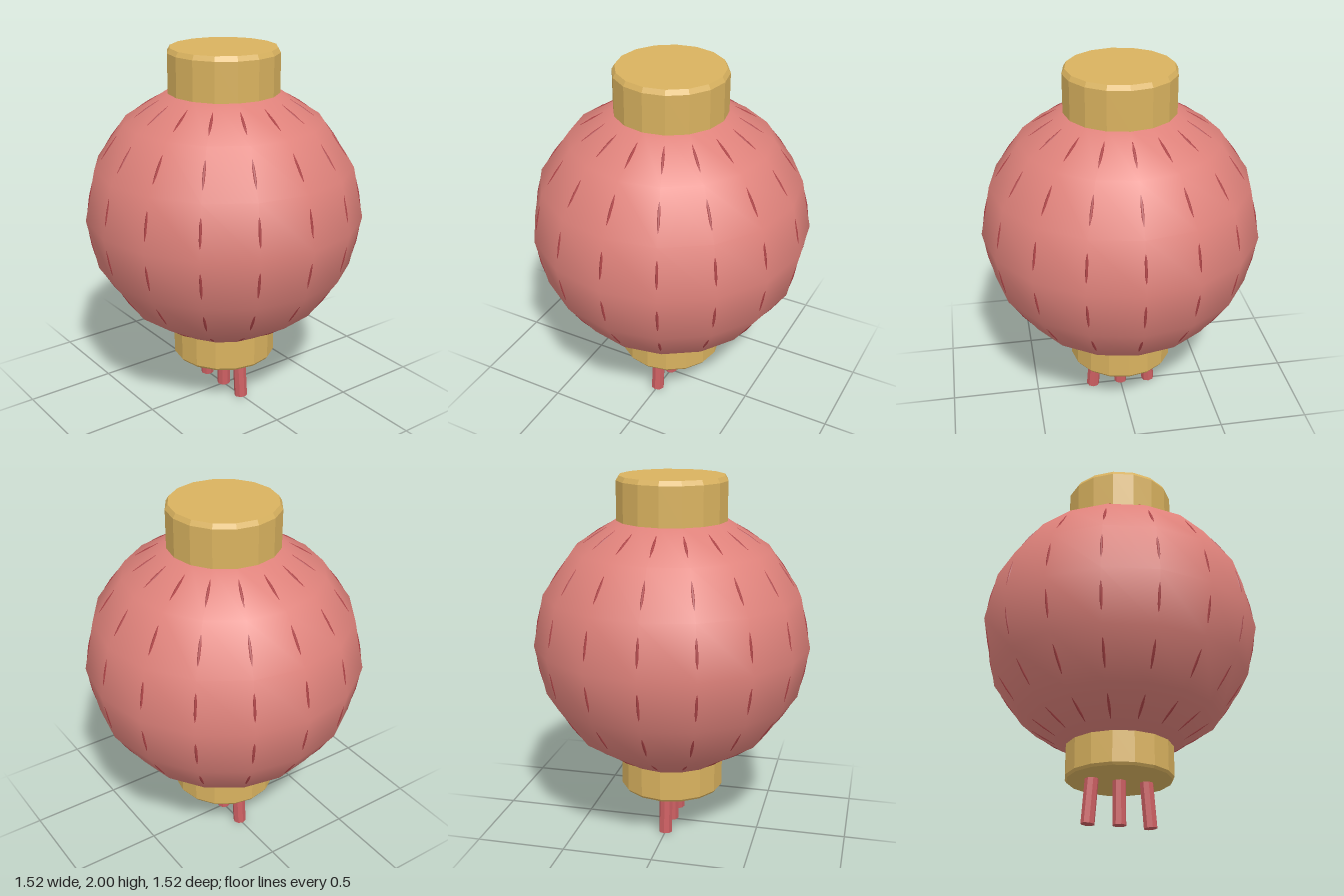
import * as THREE from 'three';

const mat = (name, color, flatShading = false) => {
  const m = new THREE.MeshStandardMaterial({ color, flatShading });
  m.name = name;
  return m;
};

export function createModel() {
  const paper = mat('paper red', 0xdf827b);
  const gold = mat('gold', 0xd9b25f, true);
  const cord = mat('cord red', 0xcc5f62, true);
  const rib = mat('rib red', 0xb04548);

  const model = new THREE.Group();
  model.name = 'lantern';
  const add = (name, geometry, material, parent = model) => {
    const mesh = new THREE.Mesh(geometry, material);
    mesh.name = name;
    parent.add(mesh);
    return mesh;
  };

  // Slightly squashed globe
  const centreY = 1.097, squash = 0.96;
  const globe = add('globe', new THREE.SphereGeometry(0.76, 16, 8), paper);
  globe.scale.y = squash;
  globe.position.y = centreY;

  // Fine meridian hoops that just break the surface between the globe's rings
  const ribs = new THREE.Group();
  ribs.name = 'ribs';
  ribs.position.y = centreY;
  ribs.scale.y = squash;
  model.add(ribs);
  const hoop = new THREE.TorusGeometry(0.742, 0.008, 6, 64);
  for (let i = 0; i < 8; i++) {
    add('rib', hoop, rib, ribs).rotation.y = (i * Math.PI) / 8;
  }

  // Bevelled end caps, each profile running from bottom to top
  const cap = (name, profile) =>
    add(name, new THREE.LatheGeometry(profile.map(([r, y]) => new THREE.Vector2(r, y)), 16), gold);
  cap('topCap', [[0, 1.765], [0.3, 1.765], [0.3, 1.975], [0.285, 2], [0, 2]]);
  cap('bottomCap', [[0, 0.243], [0.28, 0.243], [0.29, 0.257], [0.29, 0.43], [0, 0.43]]);

  // Three tassel cords, the outer pair splayed
  for (const side of [-1, 0, 1]) {
    const tassel = add('tassel', new THREE.CylinderGeometry(0.037, 0.037, 0.28, 8), cord);
    tassel.position.set(side * 0.157, side ? 0.143 : 0.148, 0);
    tassel.rotation.z = side * 0.08;
  }

  // Rest the lowest cord on the ground
  model.updateMatrixWorld(true);
  const box = new THREE.Box3().setFromObject(model, true);
  model.position.y = -box.min.y;
  return model;
}
